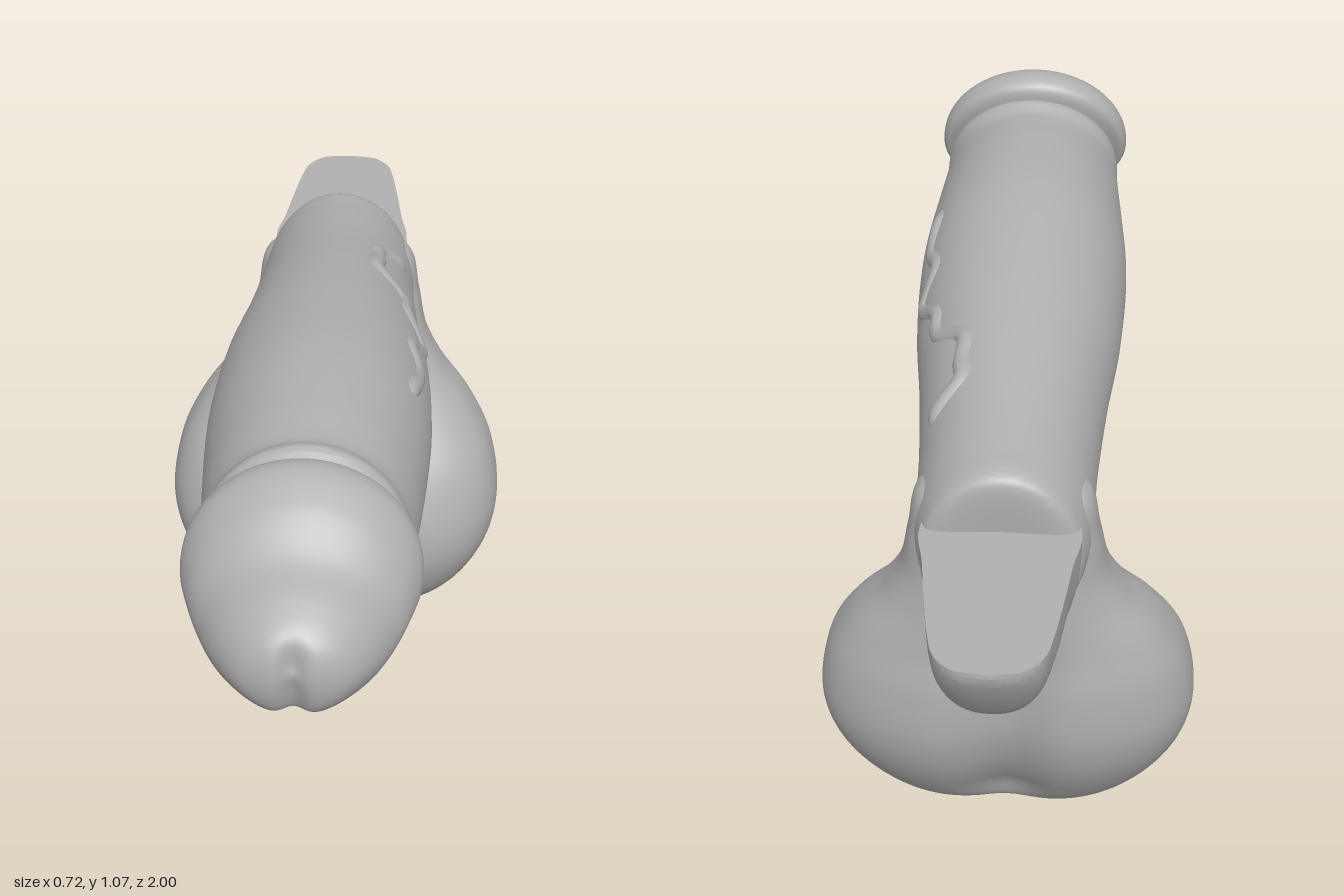
import * as THREE from 'three';
import { toCreasedNormals } from 'three/addons/utils/BufferGeometryUtils.js';

const V = (x, y, z) => new THREE.Vector3(x, y, z);
const bump = (x, s) => Math.exp(-((x / s) ** 2));
const smooth = THREE.MathUtils.smoothstep;
const power = (v, p) => Math.sign(v) * Math.abs(v) ** p;

// Rings are [halfWidth, yA, zA, taper, yB, zB]: A and B are the two centreline edges of a section.
function makeRails(rings) {
  return {
    a: new THREE.CatmullRomCurve3(rings.map(r => V(r[0], r[1], r[2]))),
    b: new THREE.CatmullRomCurve3(rings.map(r => V(r[3], r[4], r[5]))),
  };
}

// Point on the skin at position t along the rails; round below 1 makes the section boxier
function skin(rails, t, angle, round = 1) {
  const a = rails.a.getPoint(t), b = rails.b.getPoint(t);
  const s = power(Math.sin(angle), round), low = Math.min(s, 0);
  const x = Math.max(a.x, 0) * power(Math.cos(angle), round) * (1 - b.x * low * low);
  return V(x, (a.y + b.y) / 2 + (a.y - b.y) / 2 * s, (a.z + b.z) / 2 + (a.z - b.z) / 2 * s);
}

function loft(rails, steps, sides, { warp = () => {}, crease = 0, round = 1 }) {
  const pos = [], index = [];
  for (let i = 0; i <= steps; i++) {
    for (let j = 0; j < sides; j++) {
      const p = skin(rails, i / steps, j / sides * Math.PI * 2, round);
      warp(p);
      pos.push(p.x, p.y, p.z);
      if (i === steps) continue;
      const k = (j + 1) % sides, r = i * sides, q = r + sides;
      index.push(r + j, q + j, r + k, r + k, q + j, q + k);
    }
  }
  const g = new THREE.BufferGeometry();
  g.setAttribute('position', new THREE.Float32BufferAttribute(pos, 3));
  g.setIndex(index);
  g.computeVertexNormals();
  return crease ? toCreasedNormals(g, crease) : g;
}

export function createModel() {
  const group = new THREE.Group();
  const grey = new THREE.MeshStandardMaterial({ color: 0xb0b0b0 });
  const add = (name, geometry) => {
    const mesh = new THREE.Mesh(geometry, grey);
    mesh.name = name;
    group.add(mesh);
  };

  // Shaft: arched top, keeled underside, flat rear end
  const shaft = makeRails([
    [0, 0.87, 0.74, 0, 0.87, 0.74],
    [0.165, 1.02, 0.67, 0.3, 0.74, 0.79],
    [0.175, 1.033, 0.64, 0.3, 0.71, 0.76],
    [0.184, 1.05, 0.607, 0.35, 0.69, 0.71],
    [0.186, 1.038, 0.575, 0.35, 0.665, 0.65],
    [0.199, 1.044, 0.45, 0.4, 0.608, 0.46],
    [0.21, 1.042, 0.25, 0.4, 0.595, 0.25],
    [0.202, 1.01, 0.02, 0.4, 0.592, 0.02],
    [0.18, 0.972, -0.18, 0.4, 0.578, -0.18],
    [0.165, 0.93, -0.38, 0.35, 0.562, -0.38],
    [0.16, 0.905, -0.53, 0.2, 0.545, -0.53],
    [0.15, 0.897, -0.585, 0.1, 0.54, -0.58],
    [0.14, 0.885, -0.604, 0.1, 0.55, -0.604],
    [0, 0.72, -0.604, 0, 0.72, -0.604],
  ]);
  add('shaft', loft(shaft, 130, 64, { crease: 0.7 }));

  // Rounded head with a slanted rim, a tip groove and a notch below
  const head = makeRails([
    [0, 0.87, 1.006, 0, 0.86, 1.006],
    [0.085, 0.93, 0.975, 0.1, 0.785, 0.983],
    [0.13, 0.965, 0.92, 0.2, 0.748, 0.94],
    [0.162, 0.993, 0.85, 0.3, 0.724, 0.89],
    [0.19, 1.05, 0.77, 0.35, 0.715, 0.84],
    [0.203, 1.075, 0.7, 0.35, 0.714, 0.81],
    [0.199, 1.058, 0.66, 0.35, 0.72, 0.785],
    [0.17, 1.0, 0.66, 0.3, 0.75, 0.78],
    [0, 0.87, 0.72, 0, 0.87, 0.72],
  ]);
  add('head', loft(head, 80, 80, { warp: p => {
    p.z -= 0.02 * bump(p.x, 0.022) * smooth(p.z, 0.88, 0.96) * (1 - smooth(p.y, 0.87, 0.95));
    p.y += 0.03 * bump(p.x, 0.035) * (1 - smooth(p.y, 0.72, 0.79));
  } }));

  // Hanging two-lobed pouch whose neck runs up inside the shaft
  const pouch = makeRails([
    [0, 0, -0.36, 0, 0, -0.36],
    [0.14, 0.004, -0.29, 0, 0.004, -0.43],
    [0.235, 0.045, -0.23, 0, 0.045, -0.49],
    [0.3, 0.11, -0.185, 0, 0.11, -0.54],
    [0.346, 0.195, -0.16, 0, 0.195, -0.585],
    [0.362, 0.28, -0.165, 0, 0.28, -0.608],
    [0.343, 0.39, -0.205, 0, 0.39, -0.61],
    [0.295, 0.48, -0.27, 0, 0.48, -0.6],
    [0.23, 0.56, -0.33, 0, 0.56, -0.597],
    [0.193, 0.63, -0.365, 0, 0.63, -0.597],
    [0.174, 0.72, -0.395, 0, 0.72, -0.597],
    [0.15, 0.81, -0.42, 0, 0.81, -0.58],
    [0, 0.85, -0.5, 0, 0.85, -0.5],
  ]);
  add('pouch', loft(pouch, 90, 96, { round: 0.8, warp: p => {
    const front = smooth(p.z, -0.4, -0.3), back = 1 - smooth(p.z, -0.54, -0.44);
    const fold = 0.12 * smooth(p.y, 0.3, 0.65);
    const fade = 1 - smooth(p.y, 0.6, 0.72);
    p.z -= 0.035 * front * fade * bump(Math.abs(p.x) - fold, 0.045);
    p.z += 0.05 * back * bump(p.x, 0.08) * (1 - smooth(p.y, 0.42, 0.58));
    p.y += 0.014 * bump(p.x, 0.06) * (1 - smooth(p.y, 0, 0.15));
  } }));

  // Rear tab: flat top, rounded keel below; each section is centred on the top plane and cut flat there
  const tab = makeRails([
    [0, 0.88, -0.5, 0, 0.68, -0.5],
    [0.125, 1.01, -0.54, 0, 0.55, -0.54],
    [0.143, 1.025, -0.61, 0, 0.535, -0.61],
    [0.13, 1.01, -0.7, 0, 0.55, -0.7],
    [0.118, 0.99, -0.8, 0, 0.57, -0.8],
    [0.104, 0.945, -0.9, 0, 0.615, -0.9],
    [0.09, 0.88, -0.954, 0, 0.68, -0.954],
    [0.055, 0.81, -0.991, 0, 0.745, -0.991],
    [0, 0.77, -1.0, 0, 0.77, -1.0],
  ]);
  add('rearTab', loft(tab, 60, 64, {
    round: 0.85, crease: 0.7, warp: p => { p.y = Math.min(p.y, 0.78); },
  }));

  // Soft raised veins half sunk into the shaft, given as [z, y] on one side
  const onShaft = (z, y, side, depth) => {
    let lo = 0.2, hi = 0.9;
    for (let i = 0; i < 24; i++) {
      const mid = (lo + hi) / 2;
      if (shaft.a.getPoint(mid).z > z) lo = mid; else hi = mid;
    }
    const top = shaft.a.getPoint(lo).y, low = shaft.b.getPoint(lo).y;
    const s = THREE.MathUtils.clamp((2 * y - top - low) / (top - low), -1, 1);
    const p = skin(shaft, lo, Math.asin(s));
    p.x *= side;
    return p.lerp(V(0, (top + low) / 2, p.z), depth);
  };
  const veins = [
    ['upperVein', 1, [[0.3, 0.95], [0.26, 0.945], [0.16, 0.915], [0.08, 0.93], [0.01, 0.87], [-0.07, 0.91], [-0.13, 0.9], [-0.2, 0.94], [-0.26, 0.925], [-0.31, 0.915], [-0.35, 0.86], [-0.36, 0.83]]],
    ['frontVein', 1, [[0.54, 0.82], [0.52, 0.77], [0.5, 0.7], [0.45, 0.64], [0.3, 0.63], [0.15, 0.62]]],
    ['lowerVein', 1, [[0.27, 0.62], [0.22, 0.635], [0.14, 0.655], [0.05, 0.63], [-0.08, 0.635], [-0.25, 0.6], [-0.33, 0.59]]],
    ['sideVein', -1, [[0.4, 0.78], [0.32, 0.73], [0.2, 0.68], [0.05, 0.66], [-0.12, 0.63], [-0.2, 0.61]]],
  ];
  for (const [name, side, path] of veins) {
    const curve = new THREE.CatmullRomCurve3(path.map(([z, y], i) =>
      onShaft(z, y, side, i === 0 || i === path.length - 1 ? 0.2 : 0.065)));
    add(name, new THREE.TubeGeometry(curve, 72, 0.021, 12));
  }

  return group;
}
